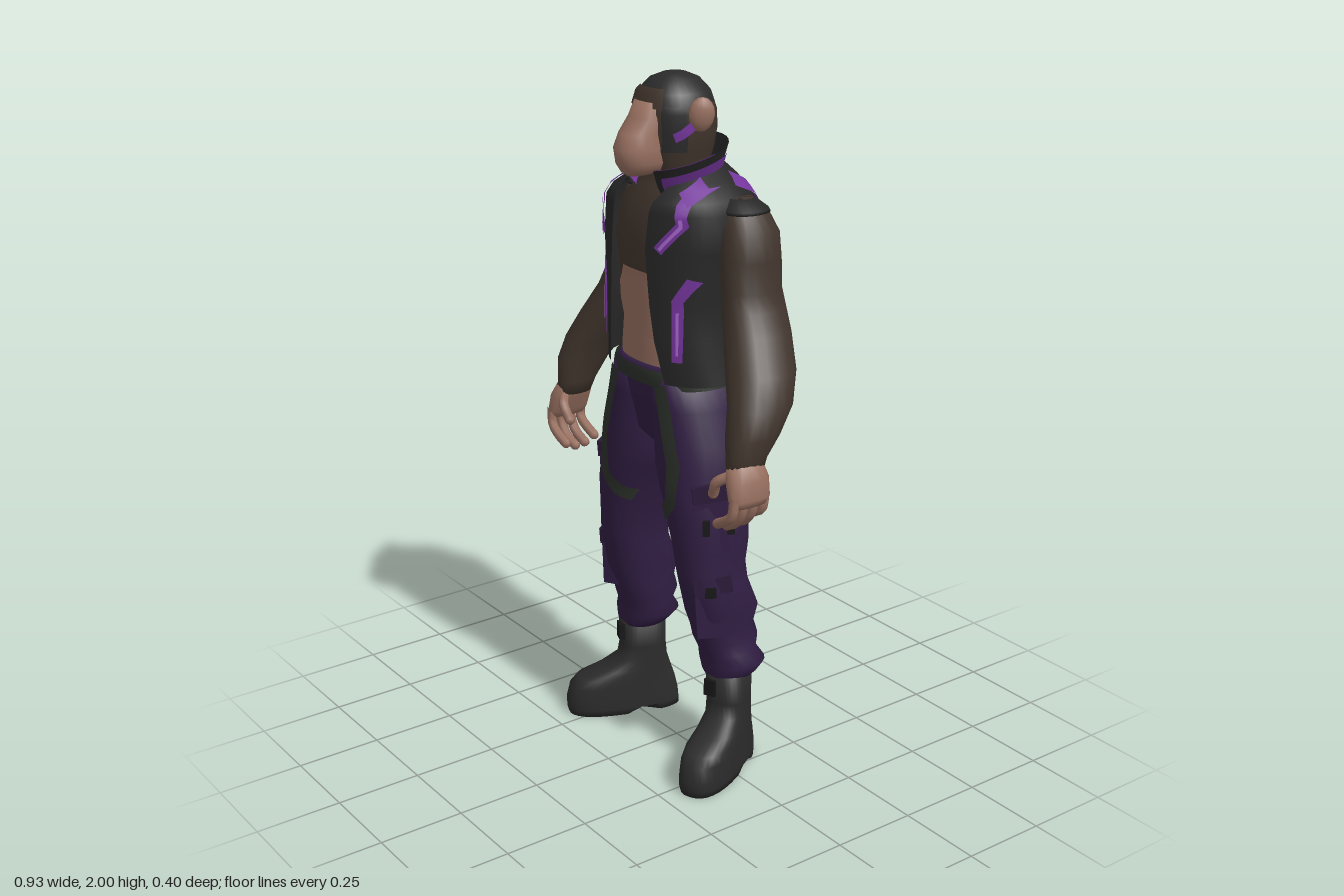
import * as THREE from 'three';

const { PI, sin, cos, abs, sign, asin, min, max } = Math;
const mat = (name, color, side = THREE.FrontSide) => {
  const m = new THREE.MeshStandardMaterial({ color, side });
  m.name = name;
  return m;
};

// Linear lookup in rows [y, ...values]
function at(rows, y) {
  const S = rows[0][0] < rows[rows.length - 1][0] ? rows : [...rows].reverse();
  let i = 0;
  while (i < S.length - 2 && y > S[i + 1][0]) i++;
  const t = min(1, max(0, (y - S[i][0]) / (S[i + 1][0] - S[i][0])));
  return S[i].map((v, k) => v + (S[i + 1][k] - v) * t);
}

// Body surface from rows [y, centreX, halfWidth, frontZ, backZ]; angle 0 is front, PI/2 is +x
function surface(rows, p = 2.2, warp = (v) => v) {
  const pw = (v) => sign(v) * abs(v) ** (2 / p);
  const f = (y, a, off = 0) => {
    const [, cx, rx, zf, zb] = at(rows, y);
    return warp(new THREE.Vector3(cx + (rx + off) * pw(sin(a)), y, (zf + zb) / 2 + ((zf - zb) / 2 + off) * pw(cos(a))));
  };
  f.rows = rows;
  f.angle = (y, x) => {
    const [, cx, rx] = at(rows, y), r = min(1, max(-1, (x - cx) / rx));
    return asin(sign(r) * abs(r) ** (p / 2));
  };
  return f;
}

function build(points, index) {
  const g = new THREE.BufferGeometry().setFromPoints(points);
  g.setIndex(index);
  g.computeVertexNormals();
  return g;
}

// Part of a surface between two heights; a full capped ring unless angles are given
function patch(f, y0, y1, { from, to, off = 0, cols = 28 } = {}) {
  const inner = f.rows.map((r) => r[0]).filter((y) => y > y0 + 1e-4 && y < y1 - 1e-4);
  const ys = [y0, ...inner, y1].sort((a, b) => a - b);
  const ring = !from, w = ring ? cols : cols + 1, pts = [], idx = [];
  ys.forEach((y) => {
    const a0 = ring ? 0 : from(y), a1 = ring ? 2 * PI : to(y);
    for (let j = 0; j < w; j++) pts.push(f(y, a0 + (a1 - a0) * j / cols, off));
  });
  for (let i = 0; i < ys.length - 1; i++) for (let j = 0; j < cols; j++) {
    const a = i * w + j, b = i * w + (j + 1) % w, c = a + w, d = b + w;
    idx.push(a, b, c, b, d, c);
  }
  if (ring) [0, ys.length - 1].forEach((row, k) => {
    const centre = f(ys[row], 0).add(f(ys[row], PI)).multiplyScalar(0.5);
    const n = pts.push(centre) - 1;
    for (let j = 0; j < cols; j++) {
      const a = row * w + j, b = row * w + (j + 1) % w;
      idx.push(...(k ? [a, b, n] : [b, a, n]));
    }
  });
  return build(pts, idx);
}
const loft = (f, opt) => patch(f, min(...f.rows.map((r) => r[0])), max(...f.rows.map((r) => r[0])), opt);

// Thin stripe laid on a surface along [x, y] points (front or back) or [angle, y] points (wrap)
function stripe(f, path, width, mode = 'front', off = 0.006) {
  const pts = [], idx = [], V = path.map((q) => new THREE.Vector2(...q));
  const normals = V.map((v, i) => {
    const d = V[min(i + 1, V.length - 1)].clone().sub(V[max(i - 1, 0)]);
    if (mode === 'wrap') d.x *= 0.12;
    d.normalize();
    return new THREE.Vector2(mode === 'wrap' ? -d.y / 0.12 : -d.y, d.x);
  });
  const steps = 8, total = (V.length - 1) * steps;
  for (let i = 0; i <= total; i++) {
    const k = min(V.length - 2, Math.floor(i / steps)), t = i / steps - k;
    const c = V[k].clone().lerp(V[k + 1], t), n = normals[k].clone().lerp(normals[k + 1], t);
    for (const s of [-0.5, 0, 0.5]) {
      const q = c.clone().addScaledVector(n, s * width);
      const a = mode === 'wrap' ? q.x : f.angle(q.y, q.x);
      pts.push(f(q.y, mode === 'back' ? PI - a : a, off));
    }
    if (i < total) for (const j of [0, 1]) {
      const a = i * 3 + j;
      idx.push(a, a + 3, a + 1, a + 1, a + 3, a + 4);
    }
  }
  return build(pts, idx);
}

export function createModel() {
  const model = new THREE.Group();
  model.name = 'apeInVest';
  const fur = mat('brown fur', 0x41352d), skin = mat('tan skin', 0x997161);
  const black = mat('charcoal hair and boots', 0x2b2b2b), cloth = mat('charcoal vest', 0x272727, THREE.DoubleSide);
  const pants = mat('dark purple trousers', 0x311e43), flapMat = mat('deep purple flaps', 0x2b1a38);
  const glow = mat('bright purple trim', 0x74359c, THREE.DoubleSide), core = mat('lavender trim core', 0xa566cc, THREE.DoubleSide);
  const strap = mat('dark green strap', 0x2c312a, THREE.DoubleSide), buckleMat = mat('black buckles', 0x171717);

  const add = (name, geo, material) => {
    const m = new THREE.Mesh(geo, material);
    m.name = name;
    model.add(m);
  };
  const pair = (name, geo, material) => {
    const g = geo.clone().scale(-1, 1, 1), ix = g.index.array;
    for (let i = 0; i < ix.length; i += 3) [ix[i], ix[i + 1]] = [ix[i + 1], ix[i]];
    add(name + 'Left', geo, material);
    add(name + 'Right', g, material);
  };
  const box = (w, h, d, x, y, z, ry = 0, rz = 0) => new THREE.BoxGeometry(w, h, d).rotateZ(rz).rotateY(ry).translate(x, y, z);
  const around = { from: () => -PI, to: () => PI }; // uncapped full ring

  // Head, hair, face and ears
  const head = surface([[2, 0, .002, .01, .006], [1.996, 0, .03, .04, -.025], [1.982, 0, .064, .074, -.058], [1.95, 0, .094, .103, -.087],
    [1.9, 0, .108, .118, -.104], [1.85, 0, .107, .115, -.106], [1.8, 0, .1, .11, -.098], [1.75, 0, .082, .09, -.085], [1.7, 0, .08, .07, -.085]]);
  add('head', patch(head, 1.7, 1.92, around), fur);
  add('hair', patch(head, 1.92, 2, around), black);
  pair('sideHair', patch(head, 1.8, 1.92, { from: () => .62, to: () => 1.3, off: .002, cols: 8 }), black);
  add('brow', patch(head, 1.915, 1.965, { from: () => -.65, to: () => .65, off: .006, cols: 10 }), fur);
  const muzzle = surface([[1.93, 0, .05, .125, .04], [1.89, 0, .058, .143, .04], [1.85, 0, .056, .178, .04], [1.81, 0, .06, .196, .04],
    [1.77, 0, .057, .19, .04], [1.745, 0, .042, .175, .05], [1.735, 0, .018, .16, .08]]);
  add('face', loft(muzzle, { cols: 20 }), skin);
  pair('ear', new THREE.SphereGeometry(1, 12, 8).scale(.021, .047, .036).rotateY(-.45).rotateZ(-.12).translate(.117, 1.9, .005), skin);
  pair('cheekTrim', stripe(head, [[.95, 1.84], [1.15, 1.85], [1.4, 1.87]], .026, 'wrap'), glow);

  // Torso with bare belly
  const torso = surface([[1.8, 0, .08, .07, -.09], [1.75, 0, .078, .075, -.095], [1.7, 0, .125, .095, -.13], [1.65, 0, .18, .125, -.15],
    [1.55, 0, .2, .14, -.165], [1.46, 0, .188, .132, -.152], [1.3, 0, .17, .128, -.14], [1.17, 0, .17, .128, -.13]], 2.3);
  add('torso', loft(torso), fur);
  const bellyX = [[1.205, .085], [1.23, .1], [1.29, .085], [1.33, .075], [1.37, .1], [1.42, .1], [1.445, .08], [1.475, .065]];
  const bellyA = (y) => torso.angle(y, at(bellyX, y)[1]);
  bellyX.slice(1).forEach(([y], i) =>
    add('belly' + (i + 1), patch(torso, bellyX[i][0], y, { from: (h) => -bellyA(h), to: bellyA, off: .005, cols: 12 }), skin));

  // Open vest with glowing piping
  const vest = surface([[1.755, 0, .092, .05, -.125], [1.72, 0, .152, .105, -.157], [1.68, 0, .206, .148, -.18], [1.65, 0, .232, .158, -.192],
    [1.55, 0, .228, .168, -.194], [1.4, 0, .21, .168, -.174], [1.3, 0, .216, .164, -.17], [1.18, 0, .235, .153, -.175]], 2.35);
  const openX = [[1.18, .128], [1.3, .102], [1.4, .09], [1.5, .08], [1.6, .074], [1.72, .09], [1.755, .075]];
  const openA = (y) => vest.angle(y, at(openX, y)[1]);
  add('vest', loft(vest, { from: openA, to: (y) => 2 * PI - openA(y), cols: 40 }), cloth);
  pair('chestTrim', stripe(vest, [[.155, 1.71], [.177, 1.63], [.12, 1.555]], .028), glow);
  pair('chestTrimCore', stripe(vest, [[.172, 1.645], [.174, 1.625], [.125, 1.56]], .009, 'front', .009), core);
  pair('frontTrim', stripe(vest, [[.196, 1.48], [.164, 1.42], [.164, 1.25]], .024), glow);
  pair('frontTrimCore', stripe(vest, [[.164, 1.39], [.164, 1.27]], .006, 'front', .009), core);
  pair('shoulderTrimFront', stripe(vest, [[.85, 1.69], [1.3, 1.722]], .034, 'wrap', .008), glow);
  pair('shoulderTrimBack', stripe(vest, [[1.9, 1.725], [2.45, 1.69]], .034, 'wrap', .008), glow);
  add('yokeTrim', stripe(vest, [[-.15, 1.7], [-.13, 1.655], [.13, 1.655], [.15, 1.7]], .022, 'back'), glow);
  add('yokeTrimCore', stripe(vest, [[-.1, 1.655], [.1, 1.655]], .007, 'back', .009), core);
  pair('bladeTrim', stripe(vest, [[.165, 1.635], [.145, 1.555], [.078, 1.53]], .023, 'back'), glow);
  pair('backTrim', stripe(vest, [[.17, 1.45], [.118, 1.41], [.118, 1.25]], .02, 'back'), glow);
  pair('backTrimCore', stripe(vest, [[.118, 1.36], [.118, 1.27]], .006, 'back', .009), core);

  // Flared standing collar, higher at the back, lined in purple
  const collar = surface([[1.7, 0, .1, .105, -.12], [1.74, 0, .12, .132, -.126], [1.79, 0, .146, .158, -.133]], 2.2,
    (v) => { v.y -= v.z * .22; return v; });
  add('collar', loft(collar, { from: () => .56, to: () => 2 * PI - .56 }), cloth);
  pair('collarLining', loft(collar, { from: () => .57, to: () => 1.8, off: -.005, cols: 14 }), glow);
  pair('collarTrim', patch(collar, 1.725, 1.765, { from: () => .7, to: () => 2.3, off: .004, cols: 14 }), glow);

  // Arms with vest shoulder caps, and hands
  const arm = surface([[1.685, .195, .035, -.03, -.1], [1.66, .218, .054, 0, -.125], [1.6, .238, .068, .02, -.148], [1.53, .247, .068, .028, -.15],
    [1.45, .257, .064, .03, -.147], [1.4, .272, .07, .036, -.148], [1.34, .295, .078, .045, -.145], [1.25, .345, .082, .075, -.122],
    [1.17, .388, .07, .105, -.082], [1.1, .405, .058, .127, -.03], [1.04, .406, .043, .13, .01], [1.0, .41, .036, .132, .025]]);
  pair('arm', loft(arm, { cols: 20 }), fur);
  pair('shoulderCap', patch(arm, 1.652, 1.685, { off: .004, cols: 20 }), cloth);
  const palm = surface([[1.035, .407, .04, .126, .028], [.99, .424, .04, .145, .016], [.94, .438, .028, .15, .018], [.92, .44, .02, .143, .026]]);
  pair('palm', loft(palm, { cols: 14 }), skin);
  const finger = (name, pts, r) => {
    const curve = new THREE.CatmullRomCurve3(pts.map((p) => new THREE.Vector3(...p)));
    pair(name, new THREE.TubeGeometry(curve, 8, r, 7), skin);
    pair(name + 'Tip', new THREE.SphereGeometry(r, 7, 5).translate(...pts[pts.length - 1]), skin);
  };
  [.036, .07, .104, .136].forEach((z, i) => {
    const low = [.86, .845, .842, .855][i];
    finger('finger' + (i + 1), [[.442, .95, z], [.437, .9, z + .003], [.41, low + .022, z + .004], [.37, low, z]], .0145);
  });
  finger('thumb', [[.405, 1.0, .115], [.37, .975, .14], [.348, .935, .135]], .015);

  // Trousers
  const hips = surface([[1.215, 0, .165, .135, -.125], [1.19, 0, .18, .138, -.133], [1.1, 0, .198, .124, -.13], [1.0, 0, .19, .105, -.12],
    [.95, 0, .11, .06, -.09], [.925, 0, .04, .03, -.06]], 2.4);
  add('hips', loft(hips), pants);
  add('belt', patch(hips, 1.16, 1.207, { ...around, off: .012 }), strap);
  const leg = surface([[1.19, .088, .09, .134, -.13], [1.1, .1, .104, .135, -.14], [1.0, .12, .118, .137, -.15], [.93, .127, .123, .137, -.138],
    [.87, .143, .114, .137, -.12], [.8, .164, .102, .135, -.107], [.7, .179, .091, .125, -.097], [.64, .186, .082, .122, -.085],
    [.59, .19, .086, .112, -.088], [.5, .195, .086, .095, -.124], [.45, .192, .078, .075, -.112], [.41, .195, .086, .065, -.122],
    [.375, .202, .082, .05, -.11], [.34, .209, .096, .046, -.132], [.31, .213, .076, .046, -.112], [.295, .213, .062, .04, -.1]]);
  pair('trouserLeg', loft(leg, { cols: 24 }), pants);
  pair('thighStrapFront', stripe(leg, [[.105, 1.17], [.13, 1.08], [.165, .95], [.158, .84], [.115, .79], [.085, .775]], .042), strap);
  pair('thighStrapBack', stripe(leg, [[.222, .865], [.16, .82], [.095, .785]], .04, 'back', .005), strap);

  // Cargo pockets with flaps and tabs
  const pocket = (name, x, y, z, h, ry) => {
    pair(name, box(.095, h, .05, x, y, z, ry, .06), pants);
    pair(name + 'Flap', box(.108, .05, .062, x, y + h / 2, z, ry, .14), flapMat);
    const c = cos(ry) * .034, s = sin(ry) * .034;
    pair(name + 'Tab', box(.022, .045, .045, x + c * .9, y - h * .3, z - s * .9, ry, .15), flapMat);
  };
  pocket('thighPocket', .231, .795, .055, .18, 1.05);
  pocket('calfPocket', .234, .525, .05, .16, 1.05);
  for (const z of [.02, .085]) pair('thighBuckle' + (z > .05 ? 'Front' : 'Rear'), box(.02, .045, .01, .29 - z * .45, .785, z, 1.05), buckleMat);
  pair('calfBuckle', box(.03, .03, .01, .262, .59, .075, 1.05), buckleMat);

  // Boots, toes turned outward, with an arch notch before the heel
  const turn = (v) => {
    if (v.y < .01 && abs(v.z) < .035) v.y = .022;
    v.x *= 1 + v.z * .8;
    return v.applyAxisAngle(new THREE.Vector3(0, 1, 0), .42).add(new THREE.Vector3(.221, 0, -.022));
  };
  const boot = surface([[.31, 0, .06, .064, -.078], [.22, 0, .058, .062, -.078], [.175, 0, .058, .07, -.082], [.14, 0, .06, .13, -.092],
    [.115, 0, .062, .195, -.1], [.09, 0, .063, .219, -.108], [.045, 0, .064, .23, -.118], [.02, 0, .064, .23, -.12], [0, 0, .062, .225, -.12]], 2.5, turn);
  pair('boot', loft(boot, { cols: 32 }), black);
  pair('bootBuckle', box(.035, .05, .018, .225, .27, .045, .4), buckleMat);
  return model;
}
